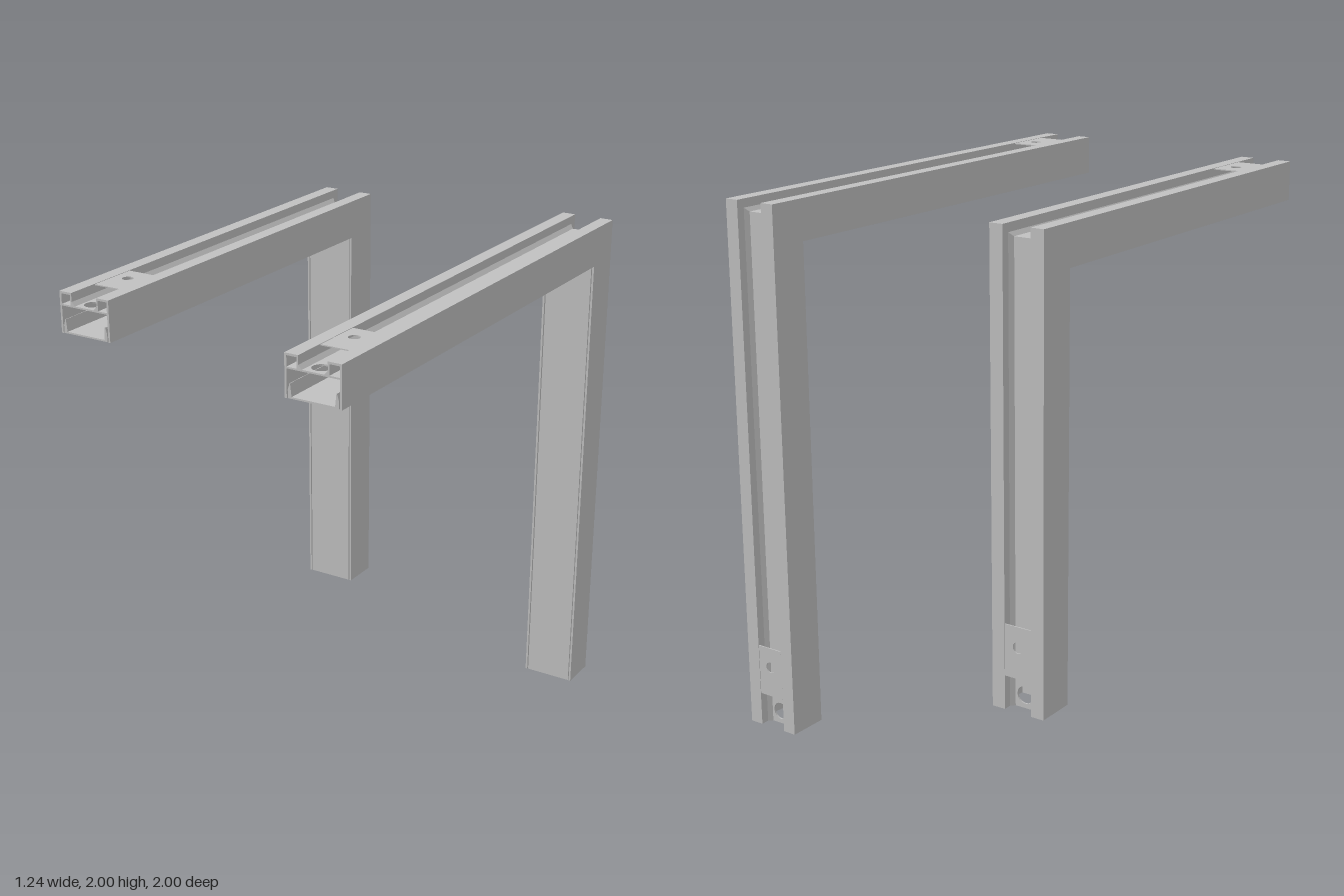
import * as THREE from 'three';

const W = 0.1075;  // half width of the profile
const D = 0.152;   // depth of the profile
const T = 0.008;   // wall thickness
const G = 0.055;   // half width of the outer groove
const FLOOR = 0.106; // height of the groove floor

const aluminium = new THREE.MeshStandardMaterial({ color: 0xc0c0c0, side: THREE.DoubleSide });
aluminium.name = 'grey aluminium';

const polygon = (pts) => new THREE.Shape(pts.map(([x, y]) => new THREE.Vector2(x, y)));

function addHole(shape, x, y, r) {
  const hole = new THREE.Path();
  hole.absarc(x, y, r, 0, Math.PI * 2, true);
  shape.holes.push(hole);
}

const extrude = (shape, depth) =>
  new THREE.ExtrudeGeometry(shape, { depth, bevelEnabled: false, curveSegments: 12 });

// Flat plate lying along the bar, from start to end, with its top at height v
function plate(halfWidth, start, end, v, thickness, holes) {
  const shape = polygon([[-halfWidth, start], [halfWidth, start], [halfWidth, end], [-halfWidth, end]]);
  holes.forEach(([along, r]) => addHole(shape, 0, along, r));
  return extrude(shape, thickness).rotateX(Math.PI / 2).translate(0, v, 0);
}

// Cut the far end at 45 degrees so that two bars meet in a corner
function mitre(geometry, length) {
  const p = geometry.attributes.position;
  for (let i = 0; i < p.count; i++) {
    if (p.getZ(i) > length - 1e-4) p.setZ(i, length - (D - p.getY(i)));
  }
  geometry.computeVertexNormals();
  return geometry;
}

// One hollow bar: x across, y from inner to outer face, z from open end to corner
function makeBar(name, length) {
  const bar = new THREE.Group();
  bar.name = name;
  const add = (part, geometry) => {
    const mesh = new THREE.Mesh(geometry, aluminium);
    mesh.name = part;
    bar.add(mesh);
  };

  // Side wall, outer lip and groove wall, mirrored
  for (const s of [-1, 1]) {
    const channel = polygon([
      [W, 0], [W, D], [G, D], [G, FLOOR + 0.014], [G - 0.014, FLOOR], [G + 0.006, FLOOR],
      [G + 0.006, D - T], [W - T, D - T], [W - T, 0],
    ].map(([x, y]) => [x * s, y]));
    add(s < 0 ? 'sideChannelA' : 'sideChannelB', mitre(extrude(channel, length), length));
  }

  // Groove floor with a cable hole
  add('grooveFloor', mitre(plate(W - T, 0, length, FLOOR, 0.006, [[0.05, 0.033]]), length));

  // Inner cover with two slanted clips
  const e = W - T - 0.004;
  const cover = polygon([
    [-e, 0.001], [e, 0.001], [e, 0.03], [e - 0.007, 0.052], [e - 0.009, 0.052], [e - 0.014, 0.007],
    [-e + 0.014, 0.007], [-e + 0.009, 0.052], [-e + 0.007, 0.052], [-e, 0.03],
  ]);
  add('innerCover', mitre(extrude(cover, length), length));

  // Small drilled plate bridging the groove
  add('groovePlate', plate(G - 0.001, 0.128, 0.323, D - 0.001, 0.004, [[0.245, 0.021]]));
  return bar;
}

// Upright leg and horizontal beam joined at the top back corner
function makeFrame(name, x, bottom, back, front) {
  const frame = new THREE.Group();
  frame.name = name;
  const beam = makeBar('beam', front - back);
  beam.rotation.y = Math.PI;
  beam.position.set(x, 2 - D, front);
  const leg = makeBar('leg', 2 - bottom);
  leg.rotation.x = -Math.PI / 2;
  leg.position.set(x, bottom, back + D);
  frame.add(beam, leg);
  return frame;
}

export function createModel() {
  const model = new THREE.Group();
  model.name = 'cornerFrames';
  model.add(makeFrame('leftFrame', 0.509, 0, -1, 1));
  model.add(makeFrame('rightFrame', -0.511, 0.28, -0.846, 0.875));
  return model;
}
